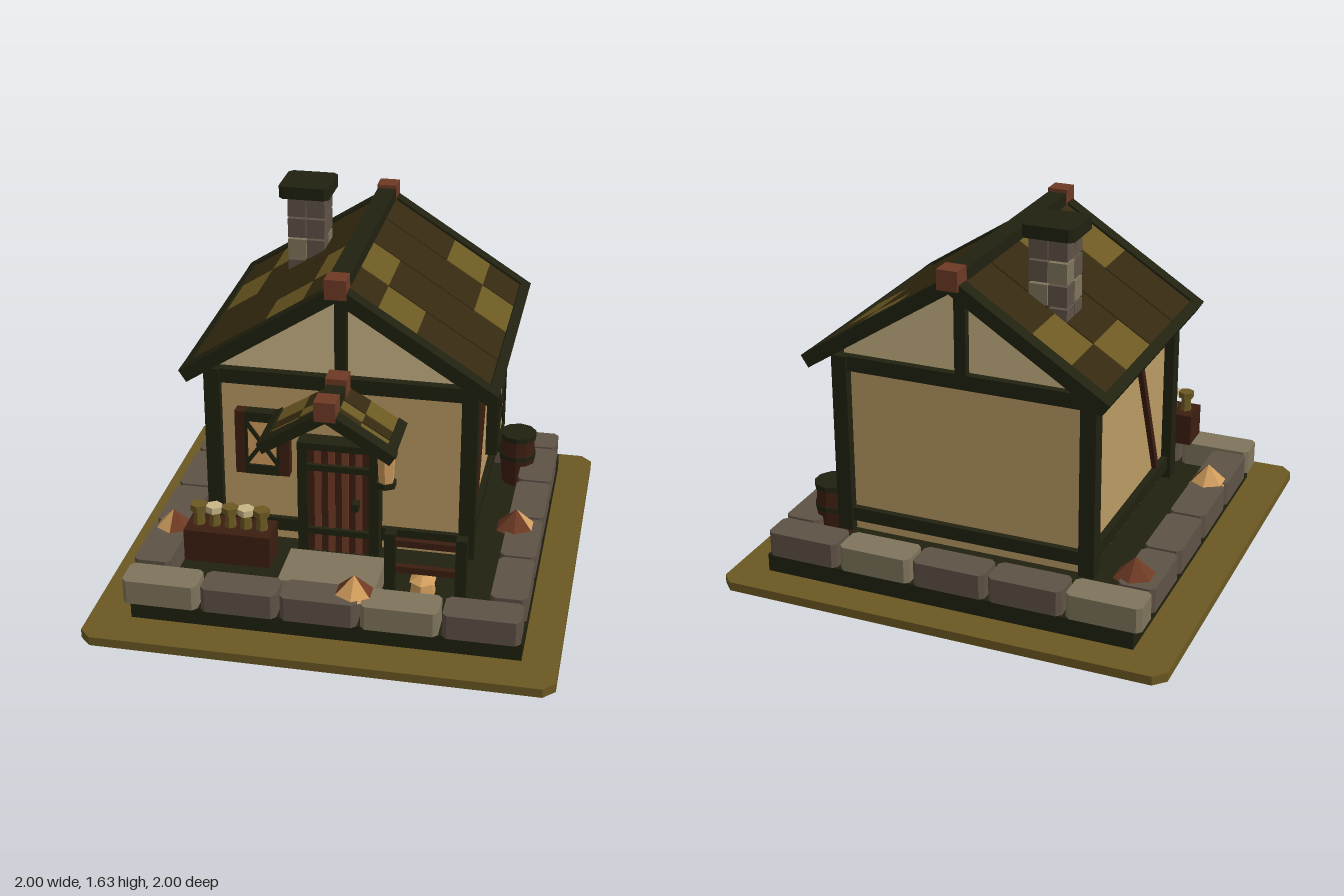
import * as THREE from 'three';

const mat = (name, color) => {
  const m = new THREE.MeshStandardMaterial({ color });
  m.name = name;
  return m;
};

export function createModel() {
  const olive = mat('olive', 0x6b5822), timber = mat('darkTimber', 0x20210f);
  const cream = mat('cream', 0xc9b586), plaster = mat('plaster', 0xba9a63);
  const stone = mat('stone', 0x5e5246), paleStone = mat('paleStone', 0x7f755c);
  const roofDark = mat('roofDark', 0x352a10), brown = mat('brown', 0x3c1e10);
  const rust = mat('rust', 0x6e3a24), tan = mat('tan', 0xcf9c5c);
  const root = new THREE.Group();
  root.name = 'cottage';

  const add = (name, geo, m, parent = root) => {
    const mesh = new THREE.Mesh(geo, m);
    mesh.name = name;
    parent.add(mesh);
    return mesh;
  };
  // Box given by its limits on each axis
  const box = (name, m, x0, x1, y0, y1, z0, z1, parent = root) => {
    const b = add(name, new THREE.BoxGeometry(x1 - x0, y1 - y0, z1 - z0), m, parent);
    b.position.set((x0 + x1) / 2, (y0 + y1) / 2, (z0 + z1) / 2);
    return b;
  };
  // Slab with cut corners in plan
  const slab = (name, m, x0, x1, y0, y1, z0, z1, c) => {
    const w = (x1 - x0) / 2, d = (z1 - z0) / 2;
    const pts = [[-w + c, -d], [w - c, -d], [w, -d + c], [w, d - c], [w - c, d], [-w + c, d], [-w, d - c], [-w, -d + c]];
    const g = new THREE.ExtrudeGeometry(new THREE.Shape(pts.map(p => new THREE.Vector2(...p))),
      { depth: y1 - y0, bevelEnabled: false });
    g.rotateX(-Math.PI / 2);
    const s = add(name, g, m);
    s.position.set((x0 + x1) / 2, y0, (z0 + z1) / 2);
    return s;
  };
  const cyl = (name, m, rt, rb, y0, y1, x, z, n, parent = root) => {
    const g = new THREE.CylinderGeometry(rt, rb, y1 - y0, n).toNonIndexed();
    g.computeVertexNormals();
    const c = add(name, g, m, parent);
    c.position.set(x, (y0 + y1) / 2, z);
    return c;
  };

  // Ground, plinth and ring of kerb stones
  slab('ground', olive, -1, 1, 0, 0.04, -1, 1, 0.05);
  box('plinth', timber, -0.82, 0.845, 0.04, 0.12, -0.845, 0.82);
  const kerb = (pale, x0, x1, z0, z1) =>
    slab('kerbStone', pale ? paleStone : stone, x0, x1, 0.12, 0.23, z0, z1, 0.02);
  for (let i = 0; i < 5; i++) {
    const x = -0.85 + i * 0.341;
    kerb(i === 0 || i === 3, x, x + 0.325, -0.85, -0.7);
    kerb(i === 0 || i === 3, x, x + 0.325, 0.69, 0.84);
  }
  for (let i = 0; i < 4; i++) {
    const z = -0.685 + i * 0.341;
    kerb(false, -0.85, -0.69, z, z + 0.326);
    kerb(false, 0.69, 0.845, z, z + 0.326);
  }
  box('doorStep', paleStone, -0.21, 0.21, 0.12, 0.22, 0.43, 0.69);

  // Walls, timber frame and attic
  box('walls', plaster, -0.545, 0.545, 0.22, 1.0, -0.645, 0.345);
  for (const x of [-0.555, 0.548])
    for (const z of [-0.65, 0.345])
      box('cornerPost', timber, x - 0.034, x + 0.034, 0.225, 1.03, z - 0.036, z + 0.036);
  for (const [y0, y1] of [[0.27, 0.33], [0.965, 1.03]]) {
    for (const z of [-0.65, 0.345]) box('crossBeam', timber, -0.54, 0.54, y0, y1, z - 0.025, z + 0.025);
    for (const x of [-0.55, 0.545]) box('sideBeam', timber, x - 0.025, x + 0.025, y0, y1, -0.64, 0.34);
  }
  const gable = new THREE.Shape([[-0.545, 0.99], [0.545, 0.99], [0.545, 1.07], [0, 1.42], [-0.545, 1.07]]
    .map(p => new THREE.Vector2(...p)));
  add('attic', new THREE.ExtrudeGeometry(gable, { depth: 0.97, bevelEnabled: false }), cream).position.z = -0.64;
  for (const z of [-0.65, 0.345]) box('kingPost', timber, -0.025, 0.025, 1.0, 1.4, z - 0.025, z + 0.025);
  for (const s of [-1, 1]) {
    const brace = add('sideBrace', new THREE.BoxGeometry(0.025, 0.66, 0.03), brown);
    brace.position.set(s * 0.555, 0.64, 0.06);
    brace.rotation.x = -0.4;
  }

  // Sloping box: d runs down the slope, t is the height off the slope line
  const slopeBox = (name, m, s, apex, a, d0, d1, t0, t1, z0, z1) => {
    const d = (d0 + d1) / 2, t = (t0 + t1) / 2;
    const b = add(name, new THREE.BoxGeometry(d1 - d0, t1 - t0, z1 - z0), m);
    b.position.set(s * (d * Math.cos(a) + t * Math.sin(a)), apex - d * Math.sin(a) + t * Math.cos(a), (z0 + z1) / 2);
    b.rotation.z = -s * a;
  };
  const finial = (y, z) => box('finial', rust, -0.045, 0.045, y - 0.043, y + 0.043, z - 0.045, z + 0.045);

  // Main roof
  const strips = [-0.71, -0.45, -0.155, 0.137, 0.4], rows = [0.02, 0.196, 0.386, 0.583, 0.76], paleRow = [2, 3, 0, 1];
  for (const s of [-1, 1]) {
    for (let i = 0; i < 4; i++)
      for (let j = 0; j < 4; j++)
        slopeBox('roofPanel', paleRow[i] === j ? olive : roofDark, s, 1.48, 0.571,
          rows[j], rows[j + 1], -0.04, -0.01, strips[i] + 0.004, strips[i + 1] - 0.004);
    for (const z of [-0.74, 0.425]) slopeBox('rake', timber, s, 1.48, 0.571, 0, 0.8, -0.06, 0, z - 0.033, z + 0.033);
    slopeBox('eave', timber, s, 1.48, 0.571, 0.752, 0.8, -0.06, -0.001, -0.77, 0.45);
  }
  box('ridge', timber, -0.042, 0.042, 1.43, 1.495, -0.77, 0.45);
  finial(1.468, -0.74);
  finial(1.468, 0.425);

  // Porch roof
  const porchStrips = [0.36, 0.49, 0.565, 0.625];
  for (const s of [-1, 1]) {
    for (let i = 0; i < 3; i++)
      for (let j = 0; j < 2; j++)
        slopeBox('porchPanel', (i + j) % 2 ? olive : roofDark, s, 1.03, 0.555,
          0.02 + j * 0.14, 0.16 + j * 0.14, -0.035, -0.01, porchStrips[i] + 0.004, porchStrips[i + 1] - 0.004);
    slopeBox('porchRake', timber, s, 1.03, 0.555, 0, 0.34, -0.047, 0, 0.615, 0.68);
    slopeBox('porchEave', timber, s, 1.03, 0.555, 0.295, 0.338, -0.046, -0.001, 0.37, 0.67);
  }
  box('porchRidge', timber, -0.04, 0.04, 0.985, 1.045, 0.36, 0.66);
  finial(1.028, 0.642);
  finial(1.028, 0.42);

  // Chimney in separate courses
  for (let i = 0; i < 5; i++) {
    const y = 1.096 + i * 0.097;
    for (const p of [0, 1])
      for (const q of [0, 1])
        box('chimneyBlock', (i + p + q) % 4 === 3 ? paleStone : stone, -0.37 + p * 0.085, -0.289 + p * 0.085,
          y, y + 0.088, -0.45 + q * 0.087, -0.367 + q * 0.087);
    box('chimneyJoint', timber, -0.345, -0.23, y + 0.004, y + 0.084, -0.369, -0.361);
    box('chimneyJoint', timber, -0.2915, -0.2835, y + 0.004, y + 0.084, -0.425, -0.3);
  }
  slab('chimneyCap', timber, -0.405, -0.18, 1.575, 1.63, -0.48, -0.25, 0.02);

  // Windows with crossed bars, built facing +z
  const windowUnit = (w, h, f, outer) => {
    const g = new THREE.Group();
    g.name = 'window';
    const iw = w - 2 * f, ih = h - 2 * f;
    for (const s of [-1, 1]) {
      box('frameSide', outer, s * (w - f) / 2 - f / 2, s * (w - f) / 2 + f / 2, -h / 2, h / 2, 0, 0.05, g);
      box('frameRail', timber, -iw / 2, iw / 2, s * (h - f) / 2 - f / 2, s * (h - f) / 2 + f / 2, 0, 0.052, g);
      const bar = add('crossBar', new THREE.BoxGeometry(Math.hypot(iw, ih) - 0.015, 0.018, 0.01), timber, g);
      bar.position.z = 0.046;
      bar.rotation.z = s * Math.atan2(ih, iw);
      box('innerFrame', timber, s * (iw / 2 - 0.004) - 0.006, s * (iw / 2 - 0.004) + 0.006, -ih / 2, ih / 2, 0, 0.053, g);
    }
    box('pane', tan, -iw / 2, iw / 2, -ih / 2, ih / 2, 0, 0.042, g);
    root.add(g);
    return g;
  };
  windowUnit(0.235, 0.295, 0.044, brown).position.set(-0.337, 0.702, 0.345);
  const sideWindow = windowUnit(0.31, 0.34, 0.034, timber);
  sideWindow.position.set(0.575, 0.71, -0.15);
  sideWindow.rotation.y = Math.PI / 2;

  // Door
  for (const s of [-1, 1]) box('doorJamb', timber, s * 0.155 - 0.022, s * 0.155 + 0.022, 0.22, 0.745, 0.345, 0.43);
  box('doorLintel', timber, -0.177, 0.177, 0.715, 0.746, 0.345, 0.432);
  for (let i = 0; i < 9; i++)
    box('doorPlank', i % 2 ? rust : brown, -0.134 + i * 0.0298, -0.1042 + i * 0.0298, 0.22, 0.716, 0.35, i % 2 ? 0.423 : 0.418);
  for (const y of [0.325, 0.635]) box('doorBand', timber, -0.135, 0.135, y - 0.014, y + 0.014, 0.41, 0.44);
  box('doorKnob', timber, 0.065, 0.095, 0.455, 0.49, 0.42, 0.468);

  // Lantern
  cyl('lanternGlass', tan, 0.04, 0.034, 0.62, 0.755, 0.217, 0.48, 6);
  cyl('lanternBase', timber, 0.046, 0.046, 0.605, 0.628, 0.217, 0.48, 6);
  cyl('lanternCap', timber, 0.018, 0.052, 0.752, 0.795, 0.217, 0.48, 6);
  box('lanternHook', timber, 0.207, 0.227, 0.79, 0.86, 0.47, 0.49);
  box('lanternArm', timber, 0.207, 0.227, 0.82, 0.84, 0.345, 0.48);

  // Planter with flowers
  box('planter', brown, -0.605, -0.235, 0.285, 0.43, 0.56, 0.71);
  for (let i = 0; i < 5; i++) {
    const x = -0.556 + i * 0.068;
    cyl('flowerStem', olive, 0.02, 0.028, 0.42, 0.495, x, 0.635, 6);
    cyl('flowerHead', i % 2 ? cream : olive, 0.036, 0.036, 0.493, 0.522, x, 0.635, 6);
  }

  // Fence
  for (const x of [0.27, 0.567]) box('fencePost', timber, x - 0.023, x + 0.023, 0.12, 0.495, 0.64, 0.687);
  for (const y of [0.325, 0.45]) box('fenceRail', brown, 0.28, 0.56, y - 0.015, y + 0.015, 0.65, 0.677);

  // Barrel with hoops
  const profile = [[0, 0.12], [0.07, 0.12], [0.085, 0.25], [0.074, 0.375], [0, 0.375]].map(p => new THREE.Vector2(...p));
  const barrelGeo = new THREE.LatheGeometry(profile, 10).toNonIndexed();
  barrelGeo.computeVertexNormals();
  add('barrel', barrelGeo, brown).position.set(0.668, 0, -0.555);
  for (const y of [0.265, 0.365]) cyl('barrelHoop', timber, 0.086, 0.087, y - 0.012, y + 0.012, 0.668, -0.555, 10);

  // Leaf piles, faces alternating between tan (T) and rust (R)
  const pile = (x, z, r, y0, h, pattern) => {
    const g = new THREE.ConeGeometry(r, h, 6, 1, true).toNonIndexed();
    g.computeVertexNormals();
    g.clearGroups();
    [...pattern].forEach((c, i) => g.addGroup(i * 3, 3, c === 'T' ? 0 : 1));
    add('leafPile', g, [tan, rust]).position.set(x, y0 + h / 2, z);
  };
  pile(0.73, 0.06, 0.095, 0.22, 0.09, 'RTTTRR');
  pile(0.13, 0.73, 0.095, 0.22, 0.09, 'TRRRRT');
  pile(-0.76, 0.35, 0.09, 0.22, 0.09, 'RRTTTT');
  pile(-0.735, -0.585, 0.095, 0.22, 0.09, 'RRRRRT');
  cyl('mushroomStem', tan, 0.05, 0.06, 0.12, 0.19, 0.385, 0.515, 6);
  pile(0.385, 0.515, 0.062, 0.185, 0.035, 'TTTTTT');

  return root;
}
